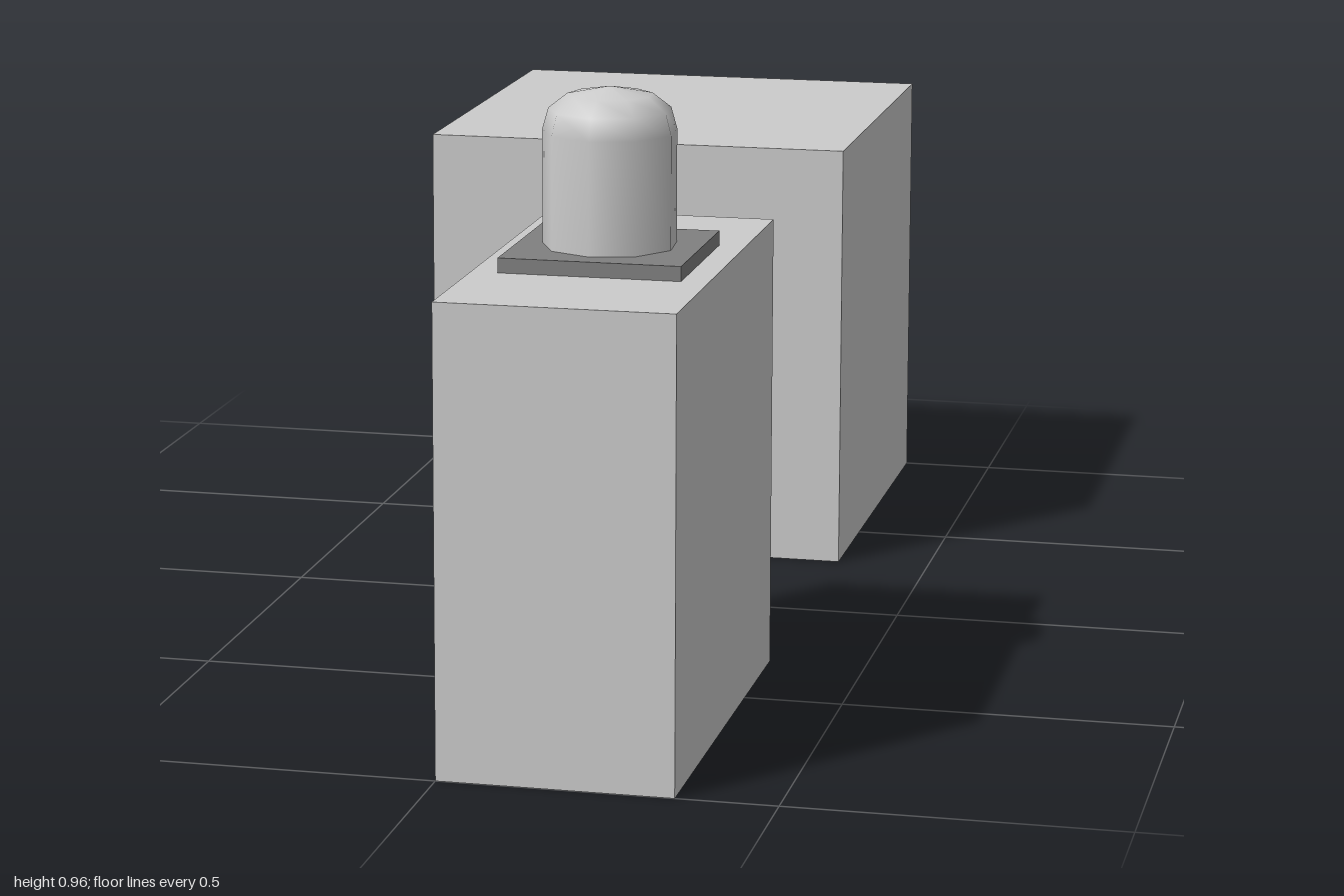
import * as THREE from 'three';

const LIGHT = 0xcccccc, MID = 0x808080, PANEL = 0x888888, DARK = 0x484848;

function part(name, geometry, color, x = 0, y = 0, z = 0) {
  const mesh = new THREE.Mesh(geometry, new THREE.MeshStandardMaterial({ color }));
  mesh.name = name;
  mesh.position.set(x, y, z);
  return mesh;
}

const box = (name, w, h, d, color, x, y, z) =>
  part(name, new THREE.BoxGeometry(w, h, d), color, x, y, z);

function square(path, cx, cy, size) {
  const h = size / 2;
  path.moveTo(cx - h, cy - h);
  path.lineTo(cx + h, cy - h);
  path.lineTo(cx + h, cy + h);
  path.lineTo(cx - h, cy + h);
  path.closePath();
  return path;
}

// Thin 3 x 3 grille, built facing local +z
function createGrille() {
  const grille = new THREE.Group();
  grille.name = 'sideGrille';
  const size = 0.59, pitch = 0.198, cell = 0.135, depth = 0.004;
  const frame = square(new THREE.Shape(), 0, 0, size);
  for (let row = -1; row <= 1; row++) {
    for (let col = -1; col <= 1; col++) {
      const x = col * pitch, y = row * pitch;
      frame.holes.push(square(new THREE.Path(), x, y, cell));
      grille.add(box('grilleRecess', cell, cell, 0.001, DARK, x, y, 0.0005));
    }
  }
  grille.add(part('grilleFrame',
    new THREE.ExtrudeGeometry(frame, { depth, bevelEnabled: false }), PANEL));
  grille.add(box('grilleCentre', 0.115, 0.115, depth, LIGHT, 0, 0, depth / 2));
  return grille;
}

// Small dome on a square plate
function createDome() {
  const dome = new THREE.Group();
  dome.name = 'domeFixture';
  dome.add(box('domePlate', 0.27, 0.022, 0.27, MID, 0, 0.011, 0));
  const profile = [[0.1, 0.02], [0.1, 0.19], [0.091, 0.222], [0.063, 0.244], [0, 0.256]]
    .map(([r, y]) => new THREE.Vector2(r, y));
  dome.add(part('domeCap', new THREE.LatheGeometry(profile, 9, -Math.PI / 4), LIGHT));
  return dome;
}

export function createModel() {
  const model = new THREE.Group();
  model.name = 'blockPair';

  // Full block at the back, with the grille on its right side
  model.add(box('fullBlock', 0.7, 0.7, 0.7, LIGHT, 0, 0.35, -0.65));
  const grille = createGrille();
  grille.rotation.y = -Math.PI / 2;
  grille.position.set(-0.35, 0.35, -0.65);
  model.add(grille);

  // Half block at the front, carrying the dome
  model.add(box('halfBlock', 0.35, 0.7, 0.7, LIGHT, 0.175, 0.35, 0.65));
  const dome = createDome();
  dome.position.set(0.175, 0.7, 0.65);
  model.add(dome);

  return model;
}
